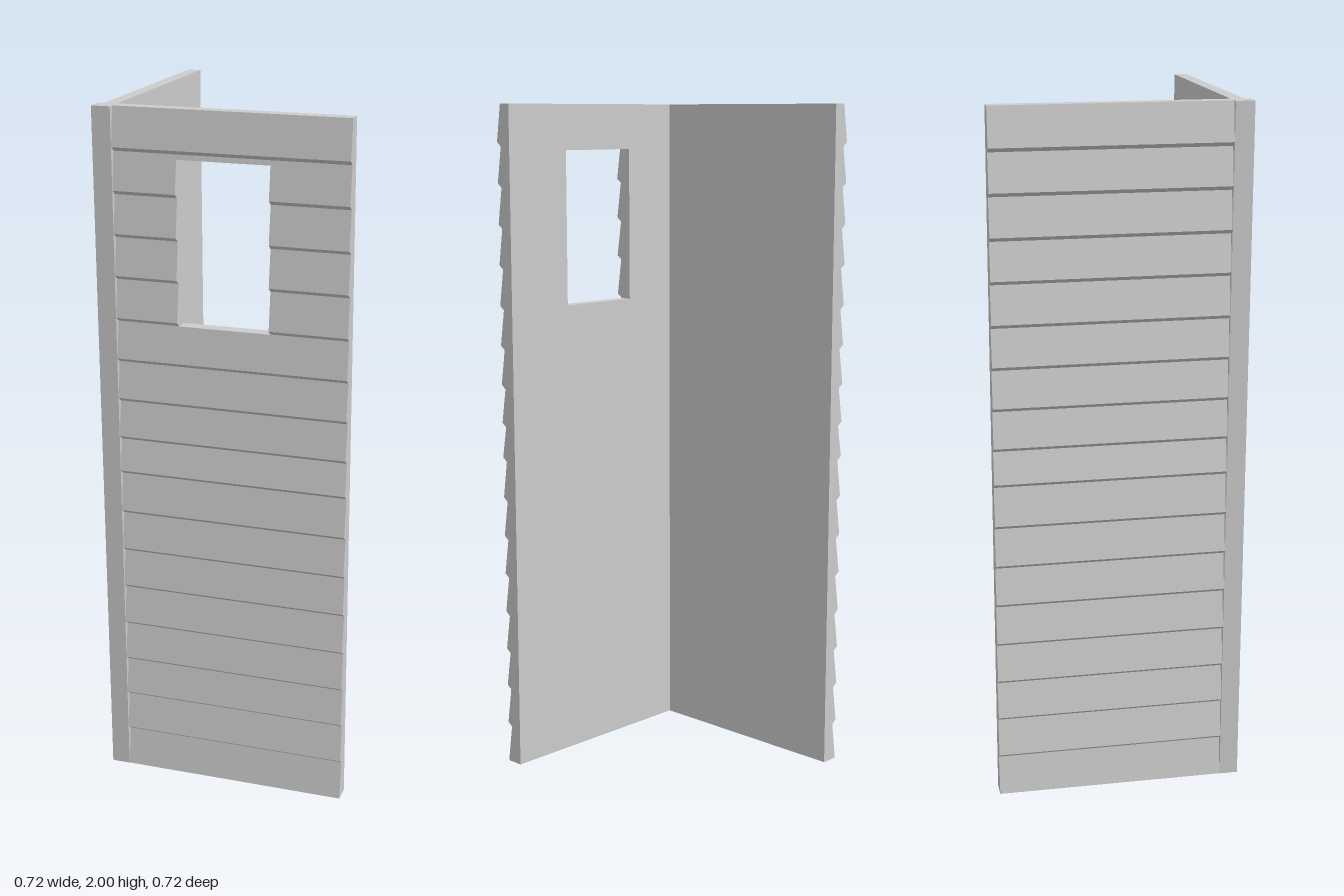
import * as THREE from 'three';

const IN = 0.305;                 // distance of both inner wall faces from the centre
const EDGE = 0.359;               // outer limit
const HEIGHT = 2;
const OUT = 0.053, BACK = 0.037;  // wall thickness at a board's lower and upper edge
const LIP = 0.006;                // half height of the bevel under each board

// heights of the joints between boards
const joints = [0.12, 0.24, 0.357, 0.475, 0.595, 0.713, 0.832, 0.955,
  1.06, 1.175, 1.292, 1.41, 1.53, 1.648, 1.767, 1.885];

// overlapping-board outline: [thickness, height] from bottom to top
const outline = [[OUT, 0]];
for (const y of joints) outline.push([BACK, y - LIP], [OUT, y + LIP]);
outline.push([BACK, HEIGHT]);

function thicknessAt(y) {
  const i = Math.max(1, outline.findIndex((p) => p[1] >= y));
  const [d0, y0] = outline[i - 1], [d1, y1] = outline[i];
  return d0 + (d1 - d0) * (y - y0) / (y1 - y0);
}

// length of boarded wall between two heights, extruded along +z
function boards(y0, y1, length) {
  const face = [
    [thicknessAt(y0), y0],
    ...outline.filter((p) => p[1] > y0 && p[1] < y1),
    [thicknessAt(y1), y1],
  ];
  const points = [[0, y0], ...face, [0, y1]].map((p) => new THREE.Vector2(...p));
  return new THREE.ExtrudeGeometry(new THREE.Shape(points), { depth: length, bevelEnabled: false });
}

export function createModel() {
  const model = new THREE.Group();
  const material = new THREE.MeshStandardMaterial({ color: 0xcccccc, flatShading: true });
  const add = (parent, name, geometry) => {
    const mesh = new THREE.Mesh(geometry, material);
    mesh.name = name;
    parent.add(mesh);
    return mesh;
  };

  // front wall, in four sections around the window opening
  const front = new THREE.Group();
  front.name = 'frontWall';
  model.add(front);
  const win = { x0: -0.125, x1: 0.138, y0: 1.403, y1: 1.865 };
  const sections = [
    ['boardsRightOfWindow', -IN, win.x0, 0, HEIGHT],
    ['boardsLeftOfWindow', win.x1, EDGE, 0, HEIGHT],
    ['boardsBelowWindow', win.x0, win.x1, 0, win.y0],
    ['boardsAboveWindow', win.x0, win.x1, win.y1, HEIGHT],
  ];
  for (const [name, x0, x1, y0, y1] of sections) {
    add(front, name, boards(y0, y1, x1 - x0).rotateY(-Math.PI / 2).translate(x1, 0, IN));
  }

  // side wall, boards facing -x
  add(model, 'sideWall', boards(0, HEIGHT, IN + EDGE).rotateY(Math.PI).translate(-IN, 0, IN));

  // corner post joining the two walls
  const size = EDGE - IN, mid = (EDGE + IN) / 2;
  add(model, 'cornerPost', new THREE.BoxGeometry(size, HEIGHT, size).translate(-mid, HEIGHT / 2, mid));

  return model;
}
